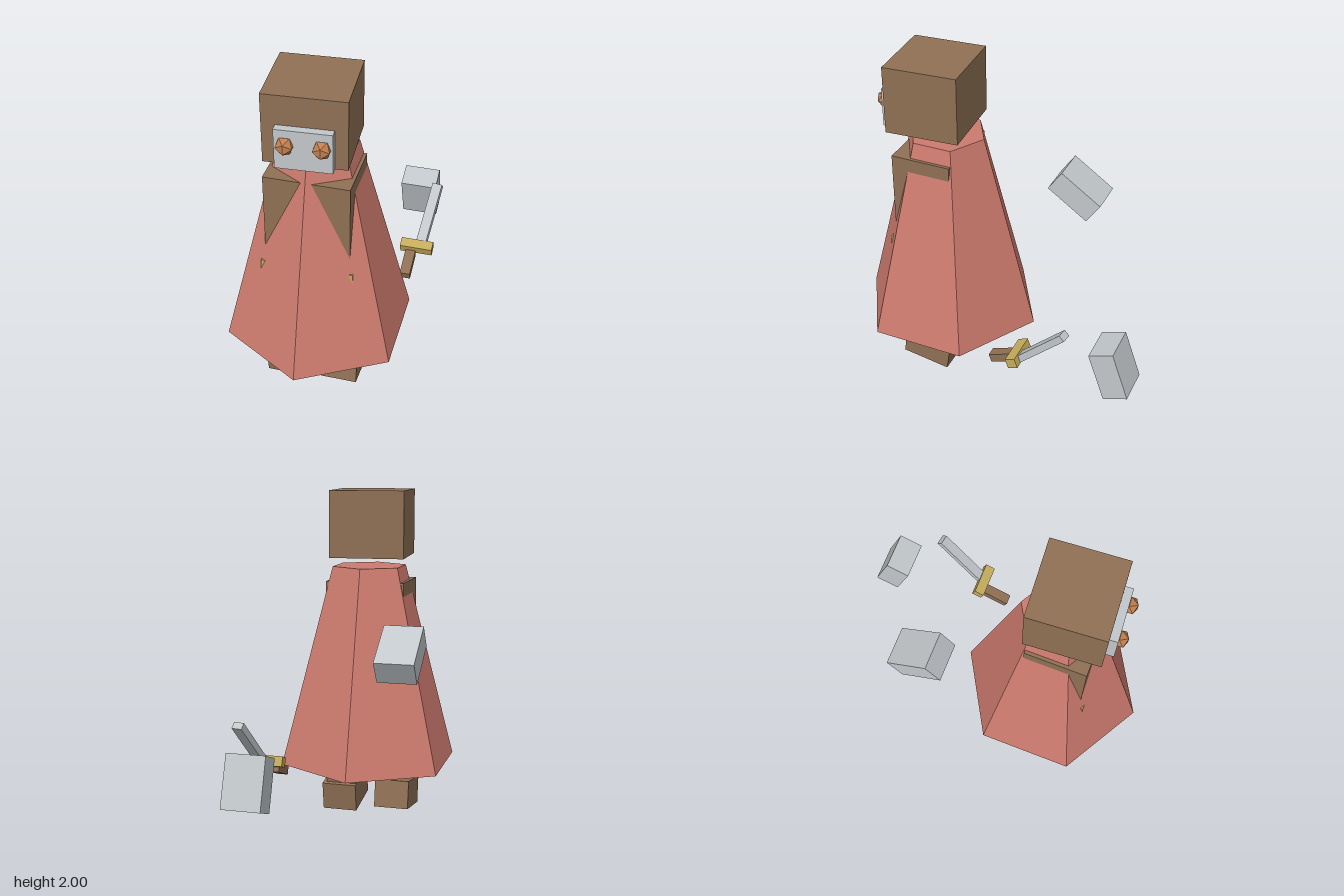
import * as THREE from 'three';

const mat = (name, color, flatShading = false) => {
  const m = new THREE.MeshStandardMaterial({ color, flatShading });
  m.name = name;
  return m;
};

export function createModel() {
  const brown = mat('brown', 0x8f7054);
  const red = mat('robe red', 0xcd7a6e, true);
  const steel = mat('steel', 0xc2c7cb);
  const gold = mat('gold', 0xc4ab5c);
  const copper = mat('copper', 0xc07f4f, true);

  const model = new THREE.Group();
  const add = (parent, name, geometry, material, pos, rot = [0, 0, 0]) => {
    const mesh = new THREE.Mesh(geometry, material);
    mesh.name = name;
    mesh.position.set(...pos);
    mesh.rotation.set(...rot, 'YXZ');
    parent.add(mesh);
    return mesh;
  };
  const box = (w, h, d) => new THREE.BoxGeometry(w, h, d);

  // Everything below the head shares one slight turn
  const body = new THREE.Group();
  body.name = 'body';
  body.position.set(-0.087, 0, 0.353);
  body.rotation.y = -0.168;
  model.add(body);

  // Six-sided robe with shoulders and belt poking through it
  add(body, 'robe', new THREE.CylinderGeometry(0.231, 0.556, 1.215, 6), red, [0, 0.9375, 0]);
  add(body, 'torso', box(0.48, 0.8, 0.36), brown, [0, 1.055, 0.058]);
  add(body, 'belt', box(0.524, 0.1, 0.41), gold, [0, 0.86, 0.06]);

  // Legs and feet in a walking pose
  for (const [side, name, legZ, footZ] of [[1, 'left', -0.055, 0.052], [-1, 'right', 0.155, 0.058]]) {
    const pitch = -0.15 * side;
    add(body, name + 'Leg', box(0.188, 0.62, 0.16), brown, [side * 0.157, 0.5, legZ], [pitch, 0, 0]);
    add(body, name + 'Foot', box(0.213, 0.172, 0.3), brown, [side * 0.167, 0.112, footZ], [pitch, 0, 0]);
  }

  // Floating steel hands
  add(body, 'rightHand', box(0.225, 0.149, 0.3), steel, [-0.354, 1.135, -0.697], [-0.6, 0, 0]);
  add(body, 'leftHand', box(0.225, 0.149, 0.3), steel, [0.359, 0.491, -1.196], [-1.23, 0, 0]);

  // Floating sword
  const sword = new THREE.Group();
  sword.name = 'sword';
  body.add(sword);
  add(sword, 'handle', box(0.063, 0.052, 0.175), brown, [0.412, 0.383, -0.544], [0.36, 0, 0]);
  add(sword, 'guard', box(0.2, 0.06, 0.062), gold, [0.446, 0.455, -0.641], [0.36, 0, 0]);
  add(sword, 'blade', box(0.062, 0.042, 0.43), steel, [0.486, 0.583, -0.793], [0.79, -0.147, 0]);

  // Head with face plate and faceted eyes
  const head = new THREE.Group();
  head.name = 'head';
  head.position.set(-0.1, 1.8, 0.418);
  head.rotation.y = -0.1;
  model.add(head);
  add(head, 'skull', box(0.45, 0.4, 0.435), brown, [0, 0, 0]);
  add(head, 'facePlate', box(0.306, 0.23, 0.06), steel, [0.002, -0.085, 0.233]);
  for (const side of [-1, 1]) {
    add(head, side > 0 ? 'leftEye' : 'rightEye', new THREE.IcosahedronGeometry(0.053, 0), copper,
      [side * 0.096 + 0.003, -0.06, 0.265]);
  }

  return model;
}
